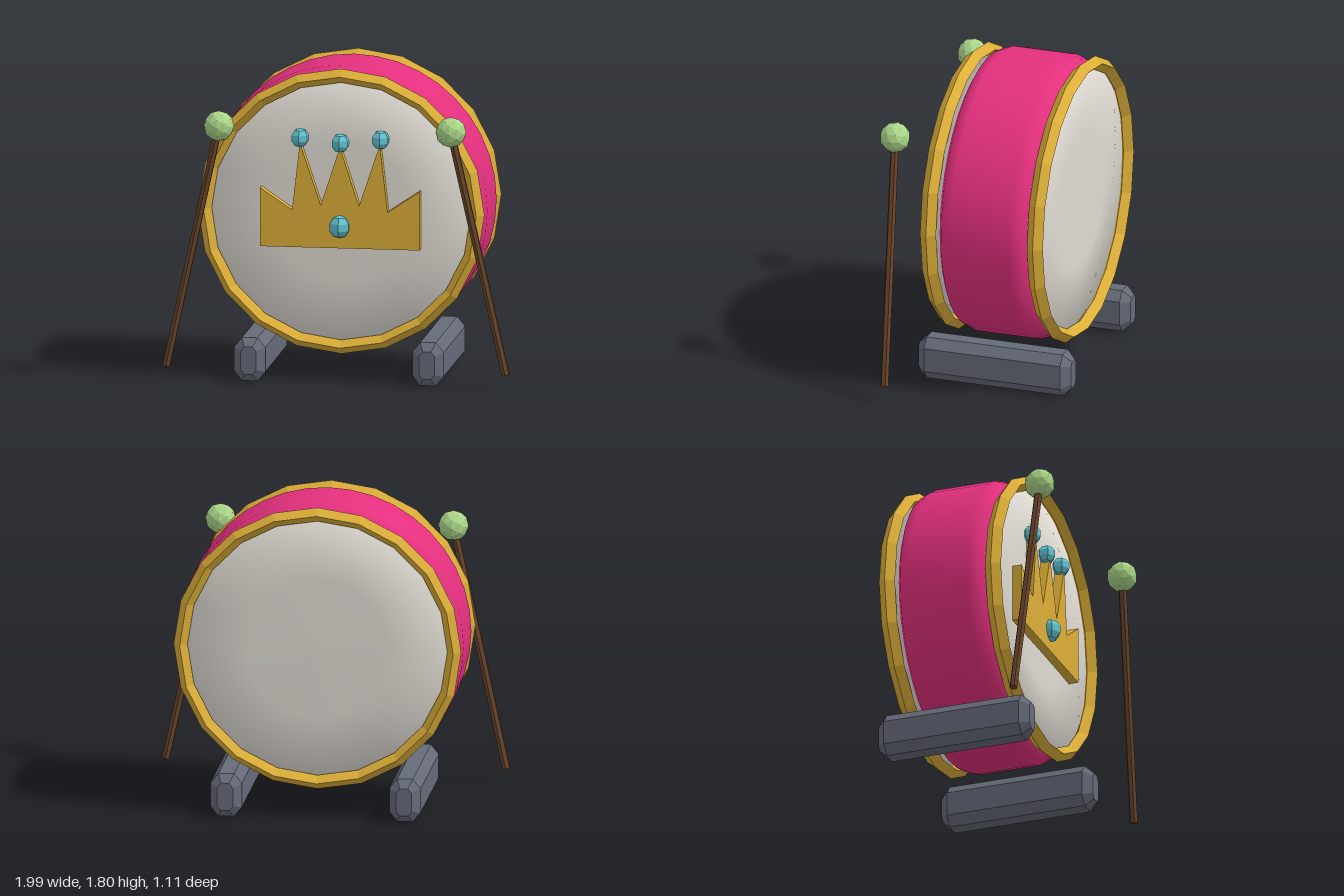
import * as THREE from 'three';

const material = (name, color, flatShading = false) => {
  const m = new THREE.MeshStandardMaterial({ color, flatShading });
  m.name = name;
  return m;
};

export function createModel() {
  const pink = material('pink shell', 0xe4307e);
  const gold = material('gold', 0xdcae38, true);
  const skin = material('drum skin', 0xe0dcd4);
  const slate = material('slate feet', 0x666b79, true);
  const wood = material('dark wood', 0x69452b, true);
  const green = material('green mallet', 0xabd688, true);
  const teal = material('teal gem', 0x62c6d4, true);

  const model = new THREE.Group();
  model.name = 'bassDrum';

  const add = (parent, name, geometry, mat, x = 0, y = 0, z = 0) => {
    const mesh = new THREE.Mesh(geometry, mat);
    mesh.name = name;
    mesh.position.set(x, y, z);
    parent.add(mesh);
    return mesh;
  };

  // Turned part whose axis runs along z; profile is [radius, z]
  const turned = (profile, segments) =>
    new THREE.LatheGeometry(profile.map(([r, z]) => new THREE.Vector2(r, z)), segments).rotateX(Math.PI / 2);

  // Drum shell with rounded shoulders
  const drum = new THREE.Group();
  drum.name = 'drum';
  drum.position.set(0, 0.98, -0.09);
  model.add(drum);
  const shoulder = [[0.82, 0.175], [0.795, 0.24], [0.735, 0.272]];
  const shell = [...shoulder.map(([r, z]) => [r, -z]).reverse(), ...shoulder];
  add(drum, 'shell', turned(shell, 40), pink);

  // Skin and diamond-section hoop on both ends
  for (const end of ['front', 'back']) {
    const side = new THREE.Group();
    side.name = end + 'End';
    if (end === 'back') side.rotation.y = Math.PI;
    drum.add(side);
    add(side, end + 'Skin', turned([[0.75, 0.1], [0.75, 0.312], [0.4, 0.32], [0, 0.325]], 40), skin);
    add(side, end + 'Hoop', new THREE.TorusGeometry(0.785, 0.04, 4, 20).scale(1, 1, 1.2), gold, 0, 0, 0.322);
  }

  // Crown emblem, drawn as one half and mirrored
  const half = [[0.46, 0.775], [0.46, 1.115], [0.275, 0.99], [0.23, 1.38], [0.11, 1.02]];
  const outline = [...half, [0, 1.36], ...half.map(([x, y]) => [-x, y]).reverse()];
  const crownShape = new THREE.Shape(outline.map(([x, y]) => new THREE.Vector2(x, y)));
  add(model, 'crown', new THREE.ExtrudeGeometry(crownShape, { depth: 0.075, bevelEnabled: false }), gold, 0, 0, 0.21);

  // Gems on the crown points and band
  const gems = [[-0.232, 1.405, 0.263, 0.055], [0, 1.38, 0.263, 0.055], [0.232, 1.405, 0.263, 0.055], [0, 0.9, 0.285, 0.066]];
  for (const [x, y, z, r] of gems) {
    add(model, 'gem', new THREE.SphereGeometry(r, 6, 5).rotateY(Math.PI / 6), teal, x, y, z);
  }

  // Chamfered foot block
  const footShape = new THREE.Shape([
    [0.09, -0.07], [0.09, 0.07], [0.045, 0.125], [-0.045, 0.125],
    [-0.09, 0.07], [-0.09, -0.07], [-0.045, -0.125], [0.045, -0.125],
  ].map(([x, y]) => new THREE.Vector2(x, y)));
  const footGeometry = new THREE.ExtrudeGeometry(footShape, {
    depth: 0.82, bevelThickness: 0.05, bevelSize: 0.045, bevelOffset: -0.045, bevelSegments: 1,
  });

  // Feet and mallets, one of each per side
  const up = new THREE.Vector3(0, 1, 0);
  for (const s of [-1, 1]) {
    const name = s > 0 ? 'left' : 'right';
    add(model, name + 'Foot', footGeometry, slate, s * 0.513, 0.125, -0.5);

    const mallet = new THREE.Group();
    mallet.name = name + 'Mallet';
    model.add(mallet);
    const top = new THREE.Vector3(s * 0.668, 1.5, 0.472);
    const tip = new THREE.Vector3(s * 0.977, 0.095, 0.428);
    const along = top.clone().sub(tip);
    const stick = add(mallet, 'stick', new THREE.CylinderGeometry(0.024, 0.024, along.length(), 6), wood);
    stick.position.copy(top).add(tip).multiplyScalar(0.5);
    stick.quaternion.setFromUnitVectors(up, along.normalize());
    add(mallet, 'malletHead', new THREE.IcosahedronGeometry(0.088, 1), green, top.x, top.y, top.z);
  }

  return model;
}
